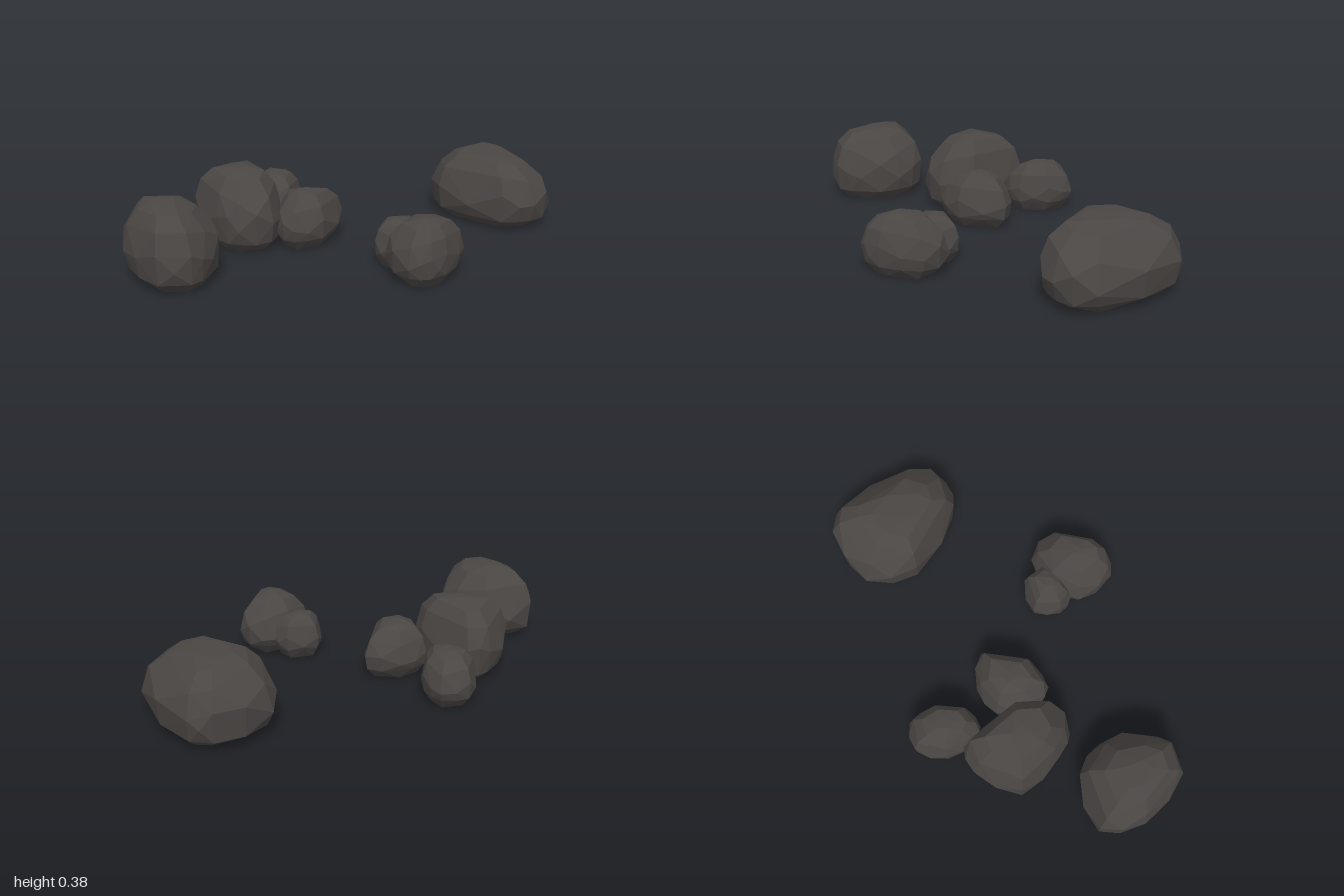
import * as THREE from 'three';
import { ConvexGeometry } from 'three/addons/geometries/ConvexGeometry.js';

// Convex boulder: a rounded plan through a few [x, z] corners, stacked as rings that shrink
// toward a crown, which leans away from the plan's centre. flat is the size of the top facet.
function rockGeometry(height, flat, [leanX, leanZ], corners) {
  const plan = new THREE.CatmullRomCurve3(corners.map(([x, z]) => new THREE.Vector3(x, 0, z)), true);
  const rim = plan.getPoints(corners.length * 2).slice(0, -1);
  const centre = new THREE.Vector3();
  rim.forEach((p) => centre.addScaledVector(p, 1 / rim.length));
  const crown = centre.clone().add(new THREE.Vector3(leanX, 0, leanZ));

  const points = [];
  const add = (from, p, scale, y) => points.push(from.clone().lerp(p, scale).setY(y));
  rim.forEach((p, i) => {
    const wave = Math.sin(i * 2.4 + height * 40);
    add(centre, p, 1, height * (0.44 + 0.12 * wave));
    add(centre, p, 0.93 + 0.03 * wave, 0.055);
    // Only the corners reach the foot and shoulder, leaving broad facets
    if (i % 2 === 0) {
      add(centre, p, 0.7, 0.002);
      add(crown, p, 0.87, height * (0.74 + 0.06 * wave));
      add(crown, p, 0.6, height * (0.92 + 0.03 * wave));
    }
    if (i % 3 === 0) add(crown, p, flat, height * (0.99 + 0.01 * wave));
  });
  return new ConvexGeometry(points);
}

export function createModel() {
  const group = new THREE.Group();
  group.name = 'rockCluster';
  const stone = new THREE.MeshStandardMaterial({ color: 0x4a4644 });
  stone.name = 'darkStone';

  const addRock = (name, height, flat, lean, ...corners) => {
    const mesh = new THREE.Mesh(rockGeometry(height, flat, lean, corners), stone);
    mesh.name = name;
    group.add(mesh);
  };

  // Large boulders
  addRock('largeBoulder', 0.355, 0.38, [-0.05, 0.03],
    [0.68, -0.745], [0.79, -0.72], [0.995, -0.31], [0.9, -0.14], [0.74, -0.12], [0.43, -0.35], [0.42, -0.61]);
  addRock('leftBoulder', 0.365, 0.28, [-0.05, 0],
    [-0.995, 0.31], [-0.73, 0.265], [-0.59, 0.39], [-0.58, 0.6], [-0.65, 0.72], [-0.8, 0.74], [-0.995, 0.53]);
  addRock('middleBoulder', 0.38, 0.15, [0, -0.02],
    [-0.52, -0.25], [-0.35, 0.02], [-0.36, 0.2], [-0.52, 0.26], [-0.63, 0.19], [-0.77, -0.01], [-0.64, -0.22]);

  // Stones leaning on the middle boulder
  addRock('backStone', 0.25, 0.25, [0, 0],
    [-0.34, -0.49], [-0.285, -0.36], [-0.32, -0.21], [-0.41, -0.155], [-0.48, -0.19], [-0.54, -0.33], [-0.48, -0.48]);
  addRock('innerStone', 0.265, 0.22, [0, -0.02],
    [-0.22, -0.145], [-0.055, -0.1], [-0.13, 0.13], [-0.27, 0.2], [-0.36, 0.12], [-0.36, -0.07]);

  // Front pair
  addRock('frontStone', 0.285, 0.18, [0, 0],
    [0.42, 0.23], [0.525, 0.35], [0.44, 0.55], [0.37, 0.61], [0.27, 0.615], [0.165, 0.43], [0.27, 0.29]);
  addRock('smallStone', 0.225, 0.25, [0, 0],
    [0.14, 0.195], [0.3, 0.175], [0.36, 0.27], [0.3, 0.36], [0.18, 0.39], [0.12, 0.33]);

  return group;
}
